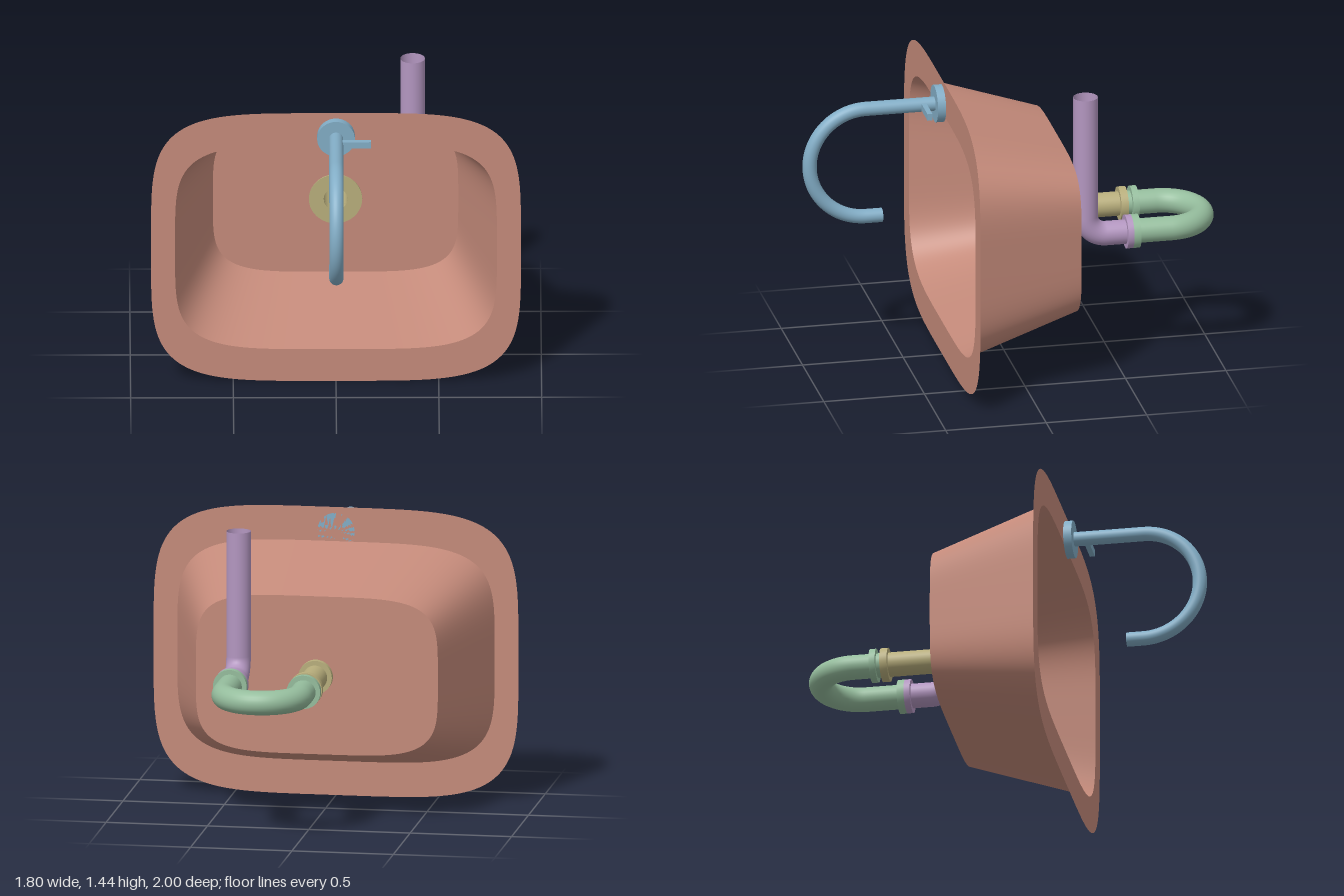
import * as THREE from 'three';
import { toCreasedNormals } from 'three/addons/utils/BufferGeometryUtils.js';

const CY = 0.717;                 // height of the basin centre and drain
const RIM_Z = 0.305, FLOOR_Z = -0.262;
const v = (x, y, z) => new THREE.Vector3(x, y, z);

const mat = (name, color) => {
  const m = new THREE.MeshStandardMaterial({ color, side: THREE.DoubleSide });
  m.name = name;
  return m;
};

// Rounded-rectangle outline (superellipse), counter-clockwise
function outline(a, b, n = 4.5, count = 128) {
  const p = (c) => Math.sign(c) * Math.abs(c) ** (2 / n);
  return Array.from({ length: count }, (_, i) => {
    const t = ((i + 0.5) / count) * Math.PI * 2;
    return new THREE.Vector2(a * p(Math.cos(t)), b * p(Math.sin(t)));
  });
}

// Flat plate facing +z with one hole
function plate(outer, hole) {
  const s = new THREE.Shape(outer);
  s.holes.push(hole);
  return new THREE.ShapeGeometry(s, 40);
}

// Sloping wall joining two outlines
function wall(front, zf, back, zb) {
  const pos = [], idx = [], n = front.length;
  front.forEach((p, i) => pos.push(p.x, p.y, zf, back[i].x, back[i].y, zb));
  for (let i = 0; i < n; i++) {
    const a = 2 * i, c = 2 * ((i + 1) % n);
    idx.push(a, a + 1, c, c, a + 1, c + 1);
  }
  const g = new THREE.BufferGeometry();
  g.setAttribute('position', new THREE.Float32BufferAttribute(pos, 3));
  g.setIndex(idx);
  g.computeVertexNormals();
  return g;
}

// Hollow ring along z between z0 and z1
function ring(rIn, rOut, z0, z1) {
  const pts = [[rIn, z0], [rOut, z0], [rOut, z1], [rIn, z1], [rIn, z0]]
    .map(([r, z]) => new THREE.Vector2(r, z));
  const g = new THREE.LatheGeometry(pts, 40);
  g.rotateX(Math.PI / 2);
  return toCreasedNormals(g, 0.6);
}

// Pipe along waypoints; a step with a corner point becomes a quarter bend
function pipe(start, steps, r, segments) {
  const path = new THREE.CurvePath();
  let p = start;
  for (const { to, corner } of steps) {
    path.add(corner
      ? new THREE.CubicBezierCurve3(p, p.clone().lerp(corner, 0.5523), to.clone().lerp(corner, 0.5523), to)
      : new THREE.LineCurve3(p, to));
    p = to;
  }
  return new THREE.TubeGeometry(path, segments, r, 28, false);
}

export function createModel() {
  const model = new THREE.Group();
  const clay = mat('clayPink', 0xc48a7a);
  const blue = mat('tapBlue', 0x82adc6);
  const yellow = mat('drainYellow', 0xb8ae7c);
  const green = mat('trapGreen', 0x95bd9d);
  const purple = mat('wastePurple', 0xb396c0);

  const add = (parent, name, geo, material, x = 0, y = 0, z = 0) => {
    const m = new THREE.Mesh(geo, material);
    m.name = name;
    m.position.set(x, y, z);
    parent.add(m);
    return m;
  };
  const group = (name) => {
    const g = new THREE.Group();
    g.name = name;
    model.add(g);
    return g;
  };

  // Basin: rim, sloping wall and floor with a drain hole
  const basin = group('basin');
  const mouth = outline(0.783, 0.547), base = outline(0.597, 0.393);
  const drainHole = new THREE.Path().absarc(0, 0, 0.06, 0, Math.PI * 2, true);
  add(basin, 'rim', plate(outline(0.9, CY), new THREE.Path(mouth)), clay, 0, CY, RIM_Z);
  add(basin, 'bowlWall', wall(mouth, RIM_Z, base, FLOOR_Z), clay, 0, CY, 0);
  add(basin, 'bowlFloor', plate(base, drainHole), clay, 0, CY, FLOOR_Z);

  // Tap: wall disc, gooseneck spout and lever
  const tap = group('tap');
  const ty = 1.313, arcZ = 0.685, R = 0.28;
  const disc = new THREE.CylinderGeometry(0.092, 0.092, 0.04, 40).rotateX(Math.PI / 2);
  add(tap, 'tapDisc', disc, blue, 0, ty, RIM_Z + 0.02);
  add(tap, 'spout', pipe(v(0, ty, 0.34), [
    { to: v(0, ty, arcZ) },
    { to: v(0, ty - R, arcZ + R), corner: v(0, ty, arcZ + R) },
    { to: v(0, ty - 2 * R, arcZ), corner: v(0, ty - 2 * R, arcZ + R) },
    { to: v(0, ty - 2 * R, 0.605) },
  ], 0.035, 90), blue);
  const spoutEnd = add(tap, 'spoutEnd', new THREE.CircleGeometry(0.035, 28), blue, 0, ty - 2 * R, 0.605);
  spoutEnd.rotation.y = Math.PI;
  add(tap, 'lever', new THREE.BoxGeometry(0.15, 0.034, 0.025), blue, 0.096, ty - 0.002, 0.402);

  // Drain: flange in the bowl, tailpiece and two collars
  const drain = group('drain');
  add(drain, 'drainFlange', ring(0.058, 0.13, FLOOR_Z + 0.002, FLOOR_Z + 0.009), yellow, 0, CY);
  add(drain, 'tailpiece', pipe(v(0, CY, FLOOR_Z + 0.005), [{ to: v(0, CY, -0.607) }], 0.06, 1), yellow);
  add(drain, 'innerCollar', ring(0.059, 0.083, -0.316, -0.284), yellow, 0, CY);
  add(drain, 'outerCollar', ring(0.059, 0.083, -0.607, -0.57), yellow, 0, CY);

  // Trap: horizontal U-bend with a collar on each leg
  const trap = group('trap');
  const w = 0.375, bz = -0.752, bend = w / 2;
  add(trap, 'uBend', pipe(v(0, CY, -0.607), [
    { to: v(0, CY, bz) },
    { to: v(bend, CY, bz - bend), corner: v(0, CY, bz - bend) },
    { to: v(w, CY, bz), corner: v(w, CY, bz - bend) },
    { to: v(w, CY, -0.555) },
  ], 0.06, 80), green);
  add(trap, 'inletCollar', ring(0.059, 0.083, -0.66, -0.629), green, 0, CY);
  add(trap, 'outletCollar', ring(0.059, 0.083, -0.59, -0.555), green, w, CY);

  // Waste pipe: collar, elbow and open riser
  const waste = group('wastePipe');
  const wz = -0.328, er = 0.1;
  add(waste, 'wasteCollar', ring(0.059, 0.083, -0.555, -0.525), purple, w, CY);
  add(waste, 'elbowAndRiser', pipe(v(w, CY, -0.555), [
    { to: v(w, CY, wz - er) },
    { to: v(w, CY + er, wz), corner: v(w, CY, wz) },
    { to: v(w, 1.436, wz) },
  ], 0.06, 70), purple);

  return model;
}
